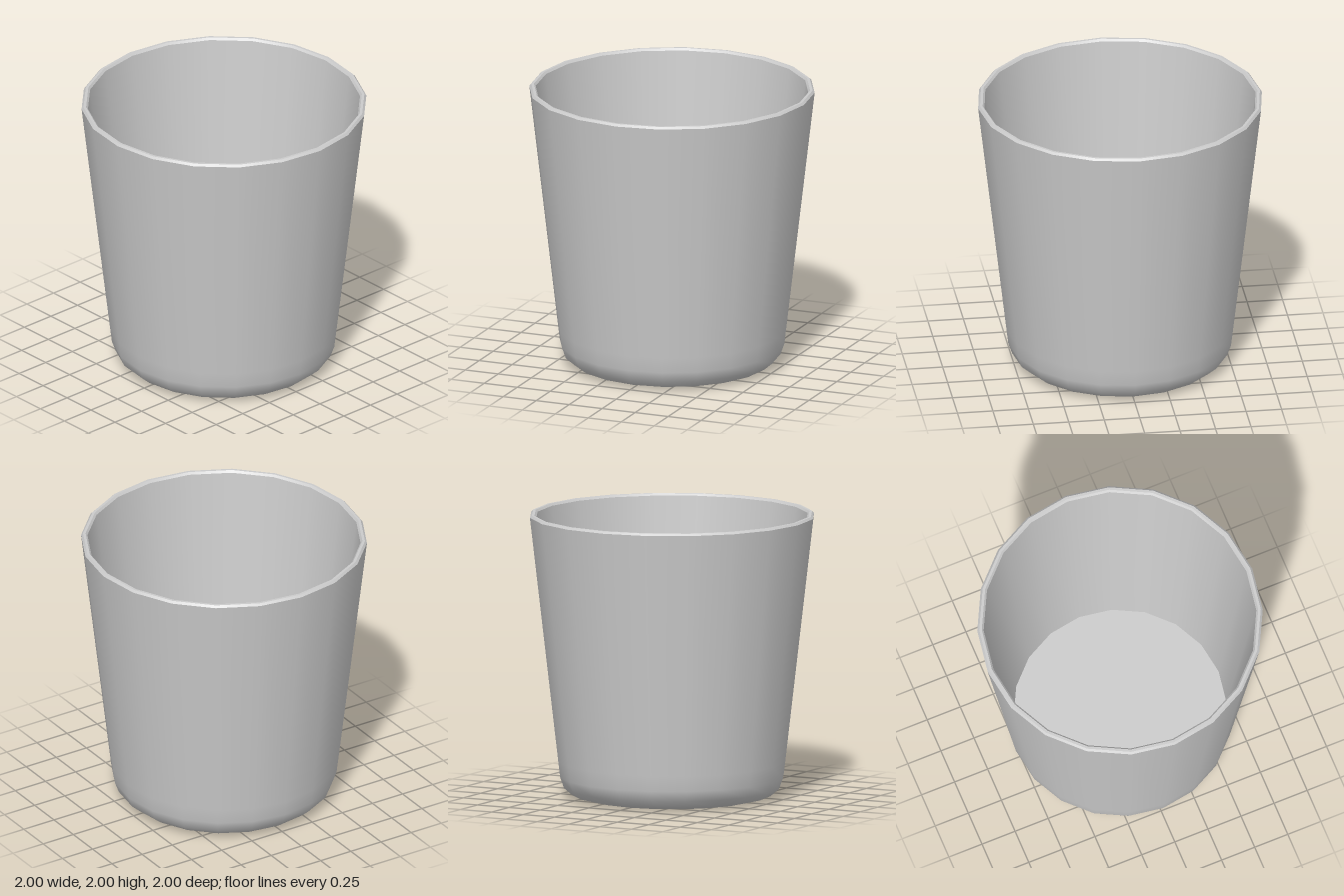
import * as THREE from 'three';

const SIDES = 20;
const material = new THREE.MeshStandardMaterial({ color: 0xcccccc });

// Revolve one [radius, height] profile; separate profiles keep their shared edge sharp
function revolve(name, profile) {
  const points = profile.map(([r, y]) => new THREE.Vector2(r, y));
  const mesh = new THREE.Mesh(new THREE.LatheGeometry(points, SIDES), material);
  mesh.name = name;
  return mesh;
}

export function createModel() {
  const cup = new THREE.Group();
  cup.name = 'cup';

  // Flat base, rounded heel and tapered outer wall in one smooth surface
  cup.add(revolve('outerWall', [
    [0, 0], [0.595, 0], [0.61, 0.001], [0.70, 0.023], [0.76, 0.075], [0.787, 0.15],
    [0.8, 0.26], [1, 1.985],
  ]));

  // Rim: outer chamfer, flat lip, inner chamfer
  const rim = new THREE.Group();
  rim.name = 'rim';
  rim.add(
    revolve('outerChamfer', [[1, 1.985], [0.986, 2]]),
    revolve('lip', [[0.986, 2], [0.968, 2]]),
    revolve('innerChamfer', [[0.968, 2], [0.955, 1.985]]),
  );
  cup.add(rim);

  // Tapered inside wall meeting a flat floor
  cup.add(revolve('innerWall', [[0.955, 1.985], [0.745, 0.16]]));
  cup.add(revolve('innerFloor', [[0.745, 0.16], [0, 0.16]]));

  return cup;
}
